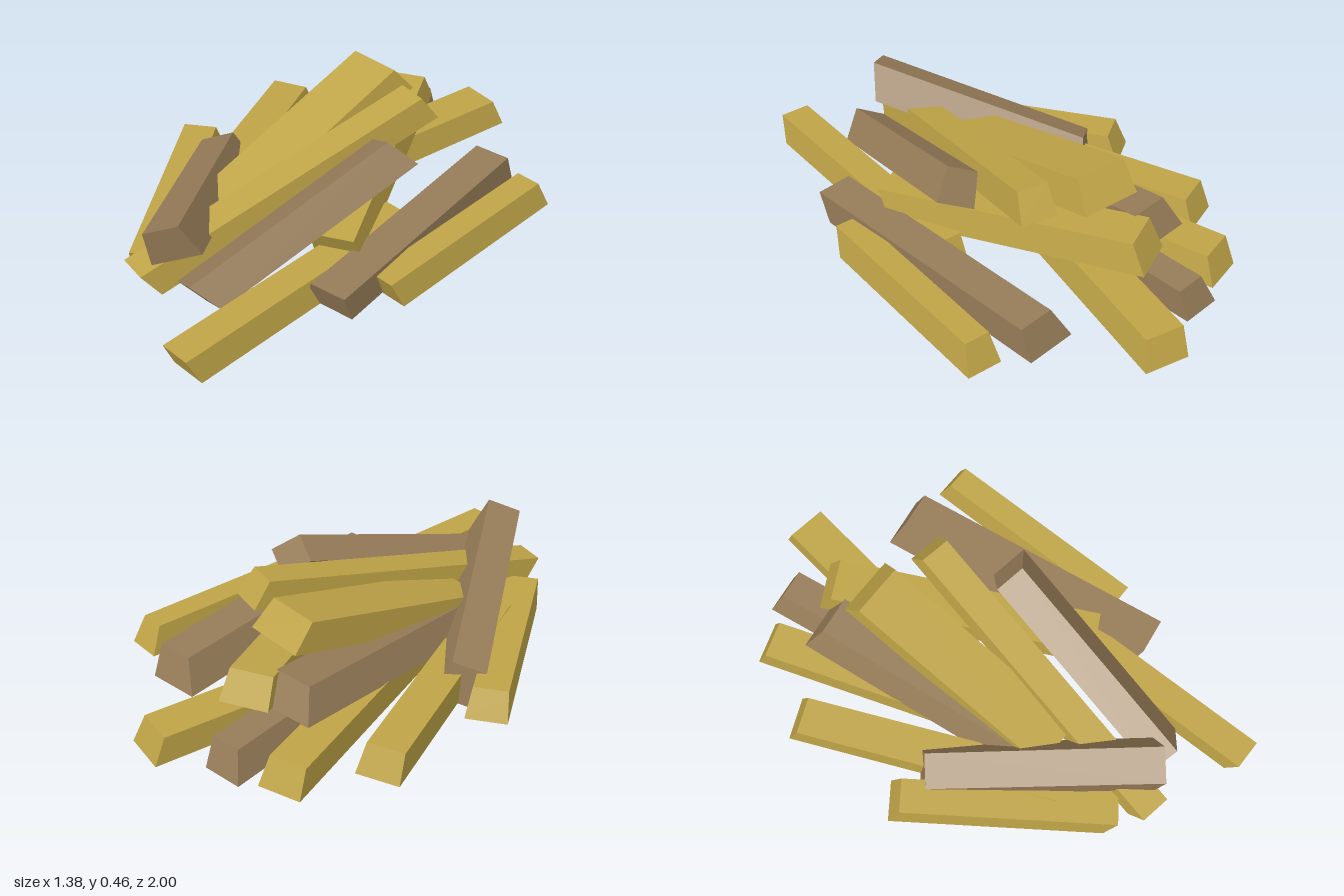
import * as THREE from 'three';

const yellowWood = new THREE.MeshStandardMaterial({ color: 0xbfa447, flatShading: true });
const brownWood = new THREE.MeshStandardMaterial({ color: 0x967c58, flatShading: true });
const SLANT = 0.4; // how far the end cuts lean, per unit of height

// A roughly hewn beam between the centres of its two ends.
// w, h: bottom width and height; left, right: share of the width cut off at the top; roll about its length.
function beam(name, material, front, back, w, h, left, right, roll = 0) {
  const f = new THREE.Vector3(...front);
  const b = new THREE.Vector3(...back);
  const axis = f.clone().sub(b);
  const length = axis.length();
  axis.normalize();

  const geometry = new THREE.BoxGeometry(w, h, length);
  const p = geometry.attributes.position;
  for (let i = 0; i < p.count; i++) {
    const x = p.getX(i), y = p.getY(i);
    if (y > 0) p.setX(i, x < 0 ? x + left * w : x - right * w);
    p.setZ(i, p.getZ(i) + SLANT * y);
  }
  geometry.computeVertexNormals();

  const side = new THREE.Vector3(0, 1, 0).cross(axis).normalize();
  const up = axis.clone().cross(side);
  const mesh = new THREE.Mesh(geometry, material);
  mesh.name = name;
  mesh.quaternion.setFromRotationMatrix(new THREE.Matrix4().makeBasis(side, up, axis));
  mesh.rotateZ(roll);
  mesh.position.copy(f).add(b).multiplyScalar(0.5);
  return mesh;
}

export function createModel() {
  const pile = new THREE.Group();
  pile.name = 'woodPile';
  const yellow = (...args) => pile.add(beam(args[0], yellowWood, ...args.slice(1)));
  const brown = (...args) => pile.add(beam(args[0], brownWood, ...args.slice(1)));

  // Bottom layer, fanned out on the ground
  yellow('groundBeamFarLeft', [0.507, 0.085, 0.25], [0.62, 0.11, -0.55], 0.135, 0.11, 0.12, 0.16);
  brown('groundBeamLeft', [0.38, 0.1, 0.435], [0.38, 0.1, -0.625], 0.2, 0.12, 0.29, 0);
  yellow('groundBeamFront', [0.195, 0.08, 0.965], [0.34, 0.105, -0.1], 0.14, 0.108, 0.02, 0.14);
  yellow('groundBeamBack', [-0.1, 0.1, -0.05], [0.16, 0.098, -0.96], 0.172, 0.108, 0, 0.13);
  brown('groundBeamMiddle', [-0.125, 0.1, 0.15], [-0.125, 0.1, -0.872], 0.155, 0.11, 0.25, 0);
  yellow('groundBeamBackRight', [-0.13, 0.1, 0.22], [-0.325, 0.1, -0.81], 0.165, 0.11, 0, 0.14);
  yellow('groundBeamRight', [-0.26, 0.095, 0.42], [-0.525, 0.1, -0.545], 0.165, 0.11, 0, 0.14);
  yellow('groundBeamFarRight', [-0.245, 0.083, 0.645], [-0.615, 0.11, -0.065], 0.155, 0.11, 0.05, 0.12);

  // Middle layer, lying across the ground beams
  yellow('middleBeamLeft', [0.29, 0.17, 0.25], [-0.05, 0.26, -0.69], 0.185, 0.115, 0, 0.12);
  brown('middleBeamRight', [-0.2, 0.15, 0.3], [-0.2, 0.255, -0.62], 0.2, 0.12, 0.24, 0);

  // Top layer, leaning on the heap
  yellow('topBeamCentre', [-0.145, 0.17, 0.33], [-0.04, 0.42, -0.495], 0.235, 0.12, 0, 0.12);
  yellow('topBeamLong', [-0.17, 0.13, 0.76], [0.2, 0.42, -0.39], 0.14, 0.11, 0.03, 0.13);
  brown('topBeamLeft', [0.045, 0.122, 0.706], [0.29, 0.385, -0.1], 0.15, 0.125, 0, 0.18, 0.47);
  brown('topBeamRight', [-0.066, 0.3, 0.727], [-0.476, 0.11, -0.03], 0.19, 0.14, 0.16, 0.15, 0.33);

  return pile;
}
